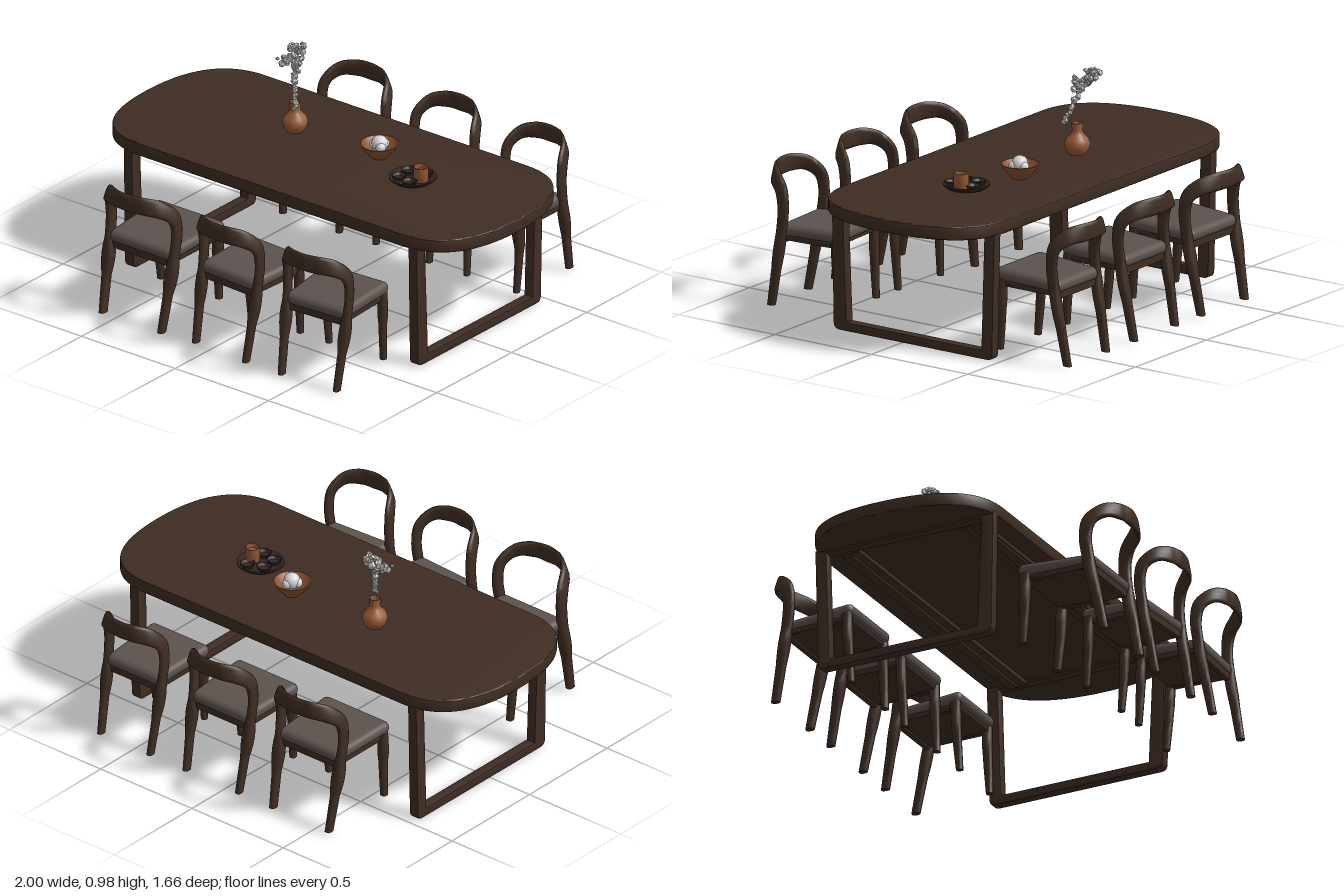
import * as THREE from 'three';
import { toCreasedNormals } from 'three/addons/utils/BufferGeometryUtils.js';
import { RoundedBoxGeometry } from 'three/addons/geometries/RoundedBoxGeometry.js';

const material = (name, color) => Object.assign(new THREE.MeshStandardMaterial({ color }), { name });
const V = (x, y, z) => new THREE.Vector3(x, y, z);

function add(parent, name, geometry, mat, x = 0, y = 0, z = 0) {
  const mesh = new THREE.Mesh(geometry, mat);
  mesh.name = name;
  mesh.position.set(x, y, z);
  parent.add(mesh);
  return mesh;
}

// Sweeps an oval section along a path; each station is [centre, half-width vector, half thickness]
function sweep(stations, steps, sides = 12) {
  const path = new THREE.CatmullRomCurve3(stations.map(s => s[0]));
  const widths = new THREE.CatmullRomCurve3(stations.map(s => s[1]));
  const thick = new THREE.CatmullRomCurve3(stations.map(s => V(s[2], 0, 0)));
  const pos = [], index = [];
  const soft = c => Math.sign(c) * Math.abs(c) ** 0.7;
  for (let i = 0; i <= steps; i++) {
    const t = i / steps, c = path.getPoint(t), w = widths.getPoint(t);
    const n = path.getTangent(t).cross(w).normalize().multiplyScalar(thick.getPoint(t).x);
    for (let j = 0; j < sides; j++) {
      const a = j / sides * Math.PI * 2;
      const p = c.clone().addScaledVector(w, soft(Math.cos(a))).addScaledVector(n, soft(Math.sin(a)));
      pos.push(p.x, p.y, p.z);
    }
  }
  const start = pos.length / 3, last = steps * sides;
  for (const t of [0, 1]) pos.push(...path.getPoint(t).toArray());
  for (let j = 0; j < sides; j++) {
    const k = (j + 1) % sides;
    for (let i = 0; i < steps; i++) {
      const a = i * sides, b = a + sides;
      index.push(a + j, a + k, b + k, a + j, b + k, b + j);
    }
    index.push(start, k, j, start + 1, last + j, last + k);
  }
  const g = new THREE.BufferGeometry();
  g.setAttribute('position', new THREE.Float32BufferAttribute(pos, 3));
  g.setIndex(index);
  return toCreasedNormals(g, 0.9);
}

const lathe = (points, segments = 32) =>
  toCreasedNormals(new THREE.LatheGeometry(points.map(p => new THREE.Vector2(...p)), segments), 0.7);

function createTable(wood) {
  const table = new THREE.Group();
  table.name = 'table';

  // Top with softly bowed ends
  const s = new THREE.Shape();
  s.moveTo(0.7, 0.417);
  s.lineTo(-0.7, 0.417);
  s.bezierCurveTo(-0.92, 0.417, -0.992, 0.24, -0.992, 0);
  s.bezierCurveTo(-0.992, -0.24, -0.92, -0.417, -0.7, -0.417);
  s.lineTo(0.7, -0.417);
  s.bezierCurveTo(0.92, -0.417, 0.992, -0.24, 0.992, 0);
  s.bezierCurveTo(0.992, 0.24, 0.92, 0.417, 0.7, 0.417);
  const top = new THREE.ExtrudeGeometry(s, {
    depth: 0.044, bevelSize: 0.008, bevelThickness: 0.008, bevelSegments: 3, curveSegments: 20 });
  top.rotateX(Math.PI / 2);
  add(table, 'tableTop', toCreasedNormals(top, 0.5), wood, 0, 0.598, -0.055);

  // Closed leg frames, drawn in the z-y plane
  const f = new THREE.Shape();
  f.moveTo(0.365, 0.555);
  f.lineTo(0.356, 0.035);
  f.quadraticCurveTo(0.354, 0.006, 0.325, 0.006);
  f.lineTo(-0.44, 0.006);
  f.quadraticCurveTo(-0.465, 0.006, -0.466, 0.035);
  f.lineTo(-0.478, 0.555);
  const hole = new THREE.Path();
  hole.moveTo(0.308, 0.535);
  hole.lineTo(-0.425, 0.535);
  hole.lineTo(-0.41, 0.045);
  hole.lineTo(0.288, 0.045);
  f.holes.push(hole);
  const frame = new THREE.ExtrudeGeometry(f, {
    depth: 0.038, bevelSize: 0.004, bevelOffset: -0.004, bevelThickness: 0.004, bevelSegments: 2 });
  frame.translate(0, 0, -0.019).rotateY(-Math.PI / 2);
  for (const x of [-0.762, 0.762]) add(table, 'legFrame', toCreasedNormals(frame, 0.5), wood, x);

  // Rails under the top
  for (const [z, side] of [[0.245, 1], [-0.335, -1]]) {
    add(table, 'underRail', new THREE.BoxGeometry(1.5, 0.02, 0.09), wood, 0, 0.538, z);
    add(table, 'railRib', new THREE.BoxGeometry(1.46, 0.012, 0.045), wood, 0, 0.524, z + side * 0.015);
  }
  return table;
}

function createChair(wood, fabric) {
  const chair = new THREE.Group();

  // One bent hoop forms the rear legs and backrest; its flat side turns from sideways to rearwards
  const half = [
    [V(0.145, 0.015, 0.207), V(0, 0, 0.019), 0.014],
    [V(0.152, 0.18, 0.177), V(0, 0, 0.022), 0.016],
    [V(0.158, 0.34, 0.148), V(0, 0, 0.024), 0.016],
    [V(0.162, 0.45, 0.136), V(0, -0.002, 0.026), 0.014],
    [V(0.156, 0.525, 0.15), V(0, -0.016, 0.027), 0.013],
    [V(0.125, 0.57, 0.2), V(0, -0.032, 0.016), 0.012],
    [V(0.068, 0.582, 0.234), V(0, -0.039, 0.004), 0.011],
  ];
  const mirrored = half.map(([c, w, t]) => [V(-c.x, c.y, c.z), w, t]).reverse();
  add(chair, 'backHoop', sweep([...half, [V(0, 0.583, 0.244), V(0, -0.04, 0), 0.011], ...mirrored], 72), wood);

  // Front legs
  for (const x of [-1, 1]) {
    add(chair, 'frontLeg', sweep([
      [V(x * 0.143, 0.03, -0.143), V(0, 0, 0.015), 0.014],
      [V(x * 0.148, 0.2, -0.132), V(0, 0, 0.02), 0.016],
      [V(x * 0.151, 0.365, -0.127), V(0, 0, 0.022), 0.016]], 8), wood);
    add(chair, 'sideRail', new THREE.BoxGeometry(0.022, 0.035, 0.27), wood, x * 0.143, 0.327, 0.005);
  }
  add(chair, 'rearRail', new THREE.BoxGeometry(0.3, 0.032, 0.022), wood, 0, 0.312, 0.148);

  // Seat panel and cushion, wider and higher toward the front
  const shaped = (w, h, d, r) => {
    const g = new RoundedBoxGeometry(w, h, d, 5, r);
    const p = g.attributes.position;
    for (let i = 0; i < p.count; i++) {
      const z = p.getZ(i);
      p.setX(i, p.getX(i) * (1 - z * 0.3));
      p.setY(i, p.getY(i) - z * 0.05);
    }
    return g;
  };
  add(chair, 'seatPanel', shaped(0.305, 0.02, 0.29, 0.008), wood, 0, 0.322, 0.005);
  add(chair, 'seatCushion', shaped(0.328, 0.056, 0.325, 0.027), fabric, 0, 0.355, 0.005);
  return chair;
}

function createFlowers(white) {
  const flowers = new THREE.Group();
  flowers.name = 'driedFlowers';
  let seed = 7;
  const rand = () => (seed = (seed * 16807) % 2147483647) / 2147483647;
  const spread = r => (rand() * 2 - 1) * r;
  const petal = new THREE.IcosahedronGeometry(1, 0);
  const lump = (p, r) => {
    const m = add(flowers, 'petal', petal, white, p.x, p.y, p.z);
    m.scale.set(r * (0.6 + rand()), r * (0.6 + rand()), r * (0.6 + rand()));
    m.rotation.set(rand() * 6, rand() * 6, rand() * 6);
  };
  // Stem covered in small blossoms
  const stem = new THREE.CatmullRomCurve3([
    V(-0.228, 0.735, -0.088), V(-0.25, 0.785, -0.108), V(-0.266, 0.84, -0.128), V(-0.28, 0.9, -0.15)]);
  add(flowers, 'stem', new THREE.TubeGeometry(stem, 16, 0.006, 6), white);
  for (let i = 0; i <= 18; i++) {
    const p = stem.getPoint(i / 18);
    lump(p.add(V(spread(0.006), 0, spread(0.006))), 0.009 + i * 0.0002);
  }
  // Clustered heads
  const heads = [[-0.33, 0.915, -0.14], [-0.32, 0.955, -0.18], [-0.285, 0.955, -0.19],
    [-0.25, 0.925, -0.15], [-0.3, 0.92, -0.17], [-0.265, 0.89, -0.145]];
  for (const h of heads)
    for (let i = 0; i < 9; i++) lump(V(...h).add(V(spread(0.02), spread(0.02), spread(0.022))), 0.011);
  return flowers;
}

function createTableware(clay, bowlClay, dark, white) {
  const ware = new THREE.Group();
  ware.name = 'tableware';
  const y = 0.606;

  add(ware, 'vase', lathe([[0, 0], [0.034, 0], [0.05, 0.022], [0.055, 0.045], [0.047, 0.068], [0.028, 0.086],
    [0.022, 0.1], [0.025, 0.135], [0.021, 0.135], [0.017, 0.1], [0, 0.09]]), clay, -0.267, y, -0.135);

  add(ware, 'bowl', lathe([[0, 0], [0.035, 0], [0.04, 0.008], [0.065, 0.034], [0.082, 0.062], [0.077, 0.063],
    [0.058, 0.036], [0.032, 0.014], [0, 0.012]]), bowlClay, 0.166, y, -0.157);

  // Lumpy white filling of the bowl
  const balls = [[0, 0.062, 0, 0.036], [0.02, 0.055, 0.018, 0.022], [-0.022, 0.056, 0.01, 0.022], [0.005, 0.055, -0.024, 0.022]];
  for (const [bx, by, bz, r] of balls)
    add(ware, 'bowlFilling', new THREE.IcosahedronGeometry(r, 2), white, 0.168 + bx, y + by, -0.157 + bz);

  add(ware, 'tray', lathe([[0, 0], [0.08, 0], [0.1, 0.014], [0.1, 0.02], [0.094, 0.02], [0.078, 0.009], [0, 0.009]]),
    dark, 0.418, y, -0.065);
  // Small dishes on the tray
  const dish = lathe([[0, 0], [0.024, 0], [0.033, 0.018], [0.029, 0.018], [0.021, 0.006], [0, 0.006]], 20);
  for (const [dx, dz] of [[-0.045, -0.03], [-0.04, 0.04], [0.025, -0.055], [0.028, 0.055]])
    add(ware, 'dish', dish, dark, 0.418 + dx, y + 0.009, -0.065 + dz);

  add(ware, 'cup', lathe([[0, 0], [0.029, 0], [0.032, 0.006], [0.032, 0.066], [0.028, 0.066], [0.027, 0.045], [0, 0.045]], 24),
    clay, 0.46, y + 0.009, -0.068);
  return ware;
}

export function createModel() {
  const model = new THREE.Group();
  model.name = 'diningSet';
  const wood = material('darkWood', 0x3f2d23);
  const fabric = material('seatFabric', 0x5c524e);
  const clay = material('terracotta', 0x965a36);
  const bowlClay = material('bowlClay', 0x8c5230);
  const dark = material('darkTray', 0x302622);
  const white = material('offWhite', 0xd6d6d6);

  model.add(createTable(wood));

  // Chairs: x, z, turn, width scale, depth scale
  const places = [
    [-0.41, 0.545, 0, 1.08, 1.1], [0.072, 0.567, -0.06, 0.97, 0.97], [0.52, 0.567, 0.06, 0.97, 0.97],
    [-0.413, -0.57, Math.PI, 1.05, 1.02], [0.07, -0.575, Math.PI, 0.99, 1], [0.547, -0.575, Math.PI, 0.93, 1]];
  const chair = createChair(wood, fabric);
  places.forEach(([x, z, turn, sx, sz], i) => {
    const c = chair.clone();
    c.name = (i < 3 ? 'frontChair' : 'rearChair') + (i % 3 + 1);
    c.position.set(x, 0, z);
    c.rotation.y = turn;
    c.scale.set(sx, 1, sz);
    model.add(c);
  });

  model.add(createTableware(clay, bowlClay, dark, white), createFlowers(white));
  return model;
}
